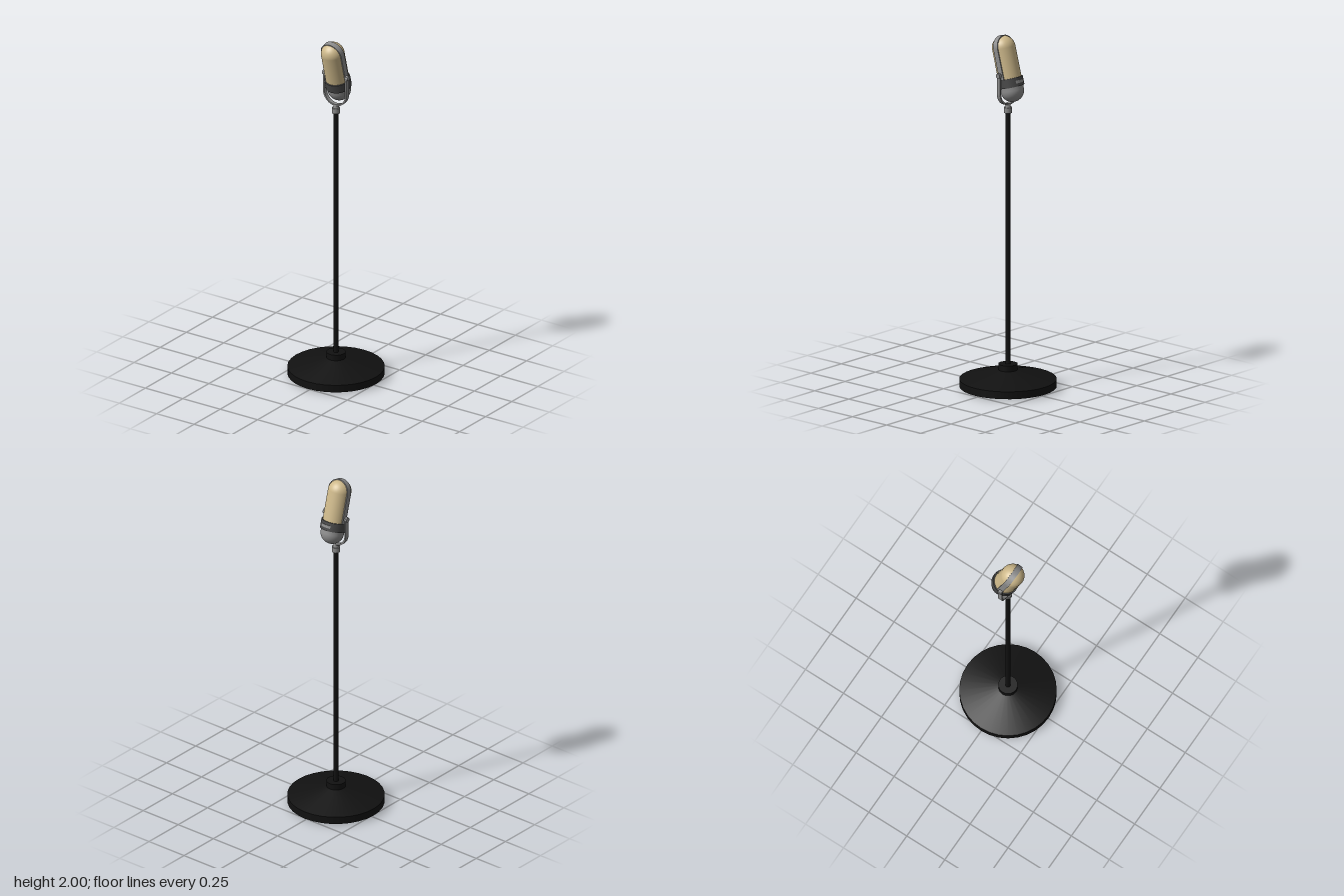
import * as THREE from 'three';

const paint = (color) => new THREE.MeshStandardMaterial({ color });
const BLACK = paint(0x111111), STEEL = paint(0x8c8c8c), DARK = paint(0x484848), TAN = paint(0xcdb88a);

function add(parent, name, geometry, material, x = 0, y = 0, z = 0) {
  const mesh = new THREE.Mesh(geometry, material);
  mesh.name = name;
  mesh.position.set(x, y, z);
  parent.add(mesh);
  return mesh;
}

// Flat bar bent into an arch: two straight legs joined by a half circle
function archGeometry(outer, inner, leg, width) {
  const s = new THREE.Shape();
  s.moveTo(outer, -leg);
  s.lineTo(outer, 0);
  s.absarc(0, 0, outer, 0, Math.PI, false);
  s.lineTo(-outer, -leg);
  s.lineTo(-inner, -leg);
  s.lineTo(-inner, 0);
  s.absarc(0, 0, inner, Math.PI, 0, true);
  s.lineTo(inner, -leg);
  s.closePath();
  return new THREE.ExtrudeGeometry(s, { depth: width, bevelEnabled: false, curveSegments: 24 })
    .translate(0, 0, -width / 2);
}

// Separate profile bands keep the hard edges crisp
function addTurned(parent, name, points, material, sides) {
  const group = new THREE.Group();
  group.name = name;
  for (let i = 0; i < points.length - 1; i++) {
    const pair = [points[i], points[i + 1]].map(([r, y]) => new THREE.Vector2(r, y));
    add(group, name + 'Band', new THREE.LatheGeometry(pair, sides), material);
  }
  parent.add(group);
  return group;
}

export function createModel() {
  const model = new THREE.Group();
  model.name = 'microphoneOnStand';

  // Stand: weighted base, hub and pole
  addTurned(model, 'base',
    [[0, 0.01], [0.267, 0.01], [0.267, 0.052], [0.053, 0.105], [0.053, 0.138], [0, 0.138]], BLACK, 32);
  add(model, 'pole', new THREE.CylinderGeometry(0.015, 0.015, 1.575, 20), BLACK, 0, 0.7875);

  // Threaded coupling and swivel neck
  add(model, 'coupling', new THREE.CylinderGeometry(0.023, 0.023, 0.03, 20), STEEL, 0, 1.583);
  add(model, 'neck', new THREE.CylinderGeometry(0.013, 0.017, 0.022, 20), STEEL, 0, 1.607);

  // U-shaped yoke with a pivot knob on each arm
  const yoke = add(model, 'yoke', archGeometry(0.079, 0.07, 0.11, 0.024), STEEL, 0, 1.692);
  yoke.rotation.z = Math.PI;
  for (const side of [1, -1]) {
    const knob = add(model, side > 0 ? 'leftKnob' : 'rightKnob',
      new THREE.CylinderGeometry(0.0135, 0.0135, 0.02, 16), STEEL, side * 0.075, 1.792);
    knob.rotation.z = Math.PI / 2;
  }

  // Capsule-shaped head, leaning forward
  const head = new THREE.Group();
  head.name = 'head';
  head.position.set(0, 1.817, 0);
  head.rotation.x = THREE.MathUtils.degToRad(15);
  model.add(head);

  const R = 0.065, H = 0.12, SPLIT = -0.075;
  const dome = (from, to) => new THREE.SphereGeometry(R, 36, 14, 0, Math.PI * 2, from, to);
  add(head, 'grilleTop', dome(0, Math.PI / 2), TAN, 0, H);
  add(head, 'grille', new THREE.CylinderGeometry(R, R, H - SPLIT, 36, 1, true), TAN, 0, (H + SPLIT) / 2);
  add(head, 'lowerBody', new THREE.CylinderGeometry(R, R, SPLIT + H, 36, 1, true), STEEL, 0, (SPLIT - H) / 2);
  add(head, 'lowerDome', dome(Math.PI / 2, Math.PI / 2), STEEL, 0, -H);

  // Strap running up both sides and over the top
  add(head, 'strap', archGeometry(0.068, 0.06, H - SPLIT, 0.032), STEEL, 0, H);

  // Clamp ring round the waist, with a small plate at the back
  const ring = addTurned(head, 'clampRing',
    [[0.06, -0.025], [0.072, -0.025], [0.072, 0.025], [0.06, 0.025]], DARK, 36);
  ring.position.y = SPLIT;
  add(head, 'backPlate',
    new THREE.CylinderGeometry(0.0745, 0.0745, 0.016, 10, 1, false, Math.PI - 0.42, 0.84), STEEL, 0, SPLIT);

  return model;
}
